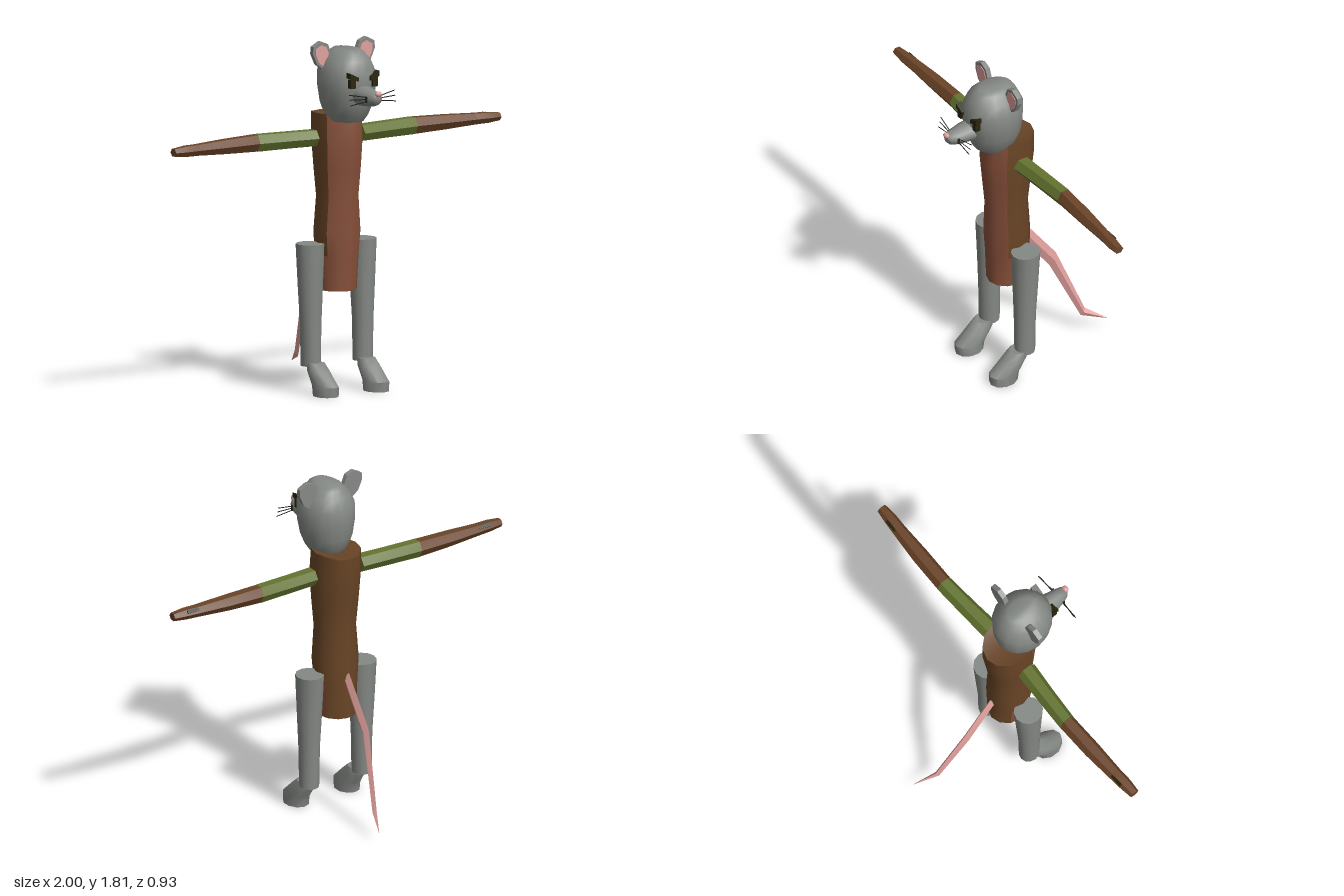
import * as THREE from 'three';
import { toCreasedNormals } from 'three/addons/utils/BufferGeometryUtils.js';

const mat = (name, color, side = THREE.FrontSide) => {
  const m = new THREE.MeshStandardMaterial({ color, side });
  m.name = name;
  return m;
};
const V = (x, y, z) => new THREE.Vector3(x, y, z);

// Ellipse of n points; u x v points along the direction of the loft
function ring(c, u, v, n, phase = 0) {
  return Array.from({ length: n }, (_, i) => {
    const a = phase + (i / n) * Math.PI * 2;
    return c.clone().addScaledVector(u, Math.cos(a)).addScaledVector(v, Math.sin(a));
  });
}
const ringY = (y, z, rx, rz, n, x = 0) => ring(V(x, y, z), V(0, 0, rz), V(rx, 0, 0), n);
const ringX = (x, y, z, ry, rz, n, phase) => ring(V(x, y, z), V(0, ry, 0), V(0, 0, rz), n, phase);
const ringZ = (z, y, rx, ry, n) => ring(V(0, y, z), V(rx, 0, 0), V(0, ry, 0), n);

// Skin between rings; keep(row, column) selects quads
function loft(rings, crease, { caps = true, keep = () => true } = {}) {
  const n = rings[0].length, index = [], pos = [];
  rings.forEach(r => r.forEach(p => pos.push(p.x, p.y, p.z)));
  for (let r = 0; r < rings.length - 1; r++) {
    for (let j = 0; j < n; j++) {
      if (!keep(r, j)) continue;
      const a = r * n + j, b = r * n + (j + 1) % n;
      index.push(a, b, b + n, a, b + n, a + n);
    }
  }
  if (caps) {
    const top = (rings.length - 1) * n;
    for (let j = 1; j < n - 1; j++) index.push(0, j + 1, j, top, top + j, top + j + 1);
  }
  const g = new THREE.BufferGeometry();
  g.setAttribute('position', new THREE.Float32BufferAttribute(pos, 3));
  g.setIndex(index);
  return toCreasedNormals(g, crease);
}

// Mirror in x, with the winding turned round
function mirrored(geo) {
  const g = geo.index ? geo.toNonIndexed() : geo.clone();
  for (const key of ['position', 'normal']) {
    const a = g.attributes[key];
    for (let i = 0; i < a.count; i += 3) {
      const t = [0, 2, 1].map(k => [-a.getX(i + k), a.getY(i + k), a.getZ(i + k)]);
      t.forEach((p, k) => a.setXYZ(i + k, ...p));
    }
  }
  return g;
}

function plate(points, depth, z) {
  const s = new THREE.Shape(points.map(p => new THREE.Vector2(...p)));
  return new THREE.ExtrudeGeometry(s, { depth, bevelEnabled: false }).translate(0, 0, z);
}

export function createModel() {
  const fur = mat('greyFur', 0x858985);
  const pink = mat('pinkSkin', 0xe0a09c);
  const coat = mat('brownCoat', 0x694526);
  const shirt = mat('redBrownShirt', 0x87503a);
  const sleeveMat = mat('greenSleeve', 0x64742f);
  const glove = mat('brownGlove', 0x6b4428);
  const dark = mat('darkDetail', 0x2a2610, THREE.DoubleSide);
  const black = mat('blackWhisker', 0x1c1c1a);

  const model = new THREE.Group();
  model.name = 'mouse';
  const add = (name, geo, material) => {
    const m = new THREE.Mesh(geo, material);
    m.name = name;
    model.add(m);
    return m;
  };
  const pair = (name, geo, material) => {
    add(name + 'Left', geo, material);
    add(name + 'Right', mirrored(geo), material);
  };

  // Body: y, z centre, half width, half depth
  const body = [
    [0.52, 0.08, 0.1, 0.112], [0.7, 0.082, 0.11, 0.115], [0.82, 0.085, 0.12, 0.118],
    [1.0, 0.088, 0.106, 0.112], [1.15, 0.087, 0.118, 0.127], [1.3, 0.085, 0.126, 0.143],
    [1.42, 0.078, 0.122, 0.138],
  ].map(p => ringY(...p, 12));
  body[body.length - 1].forEach(p => { p.y += p.z > 0.16 ? -0.02 : p.z > 0 ? 0.01 : 0; });
  const isShirt = (r, j) => j < 2 || j > 9 || (r === 0 && (j < 4 || j > 7));
  add('shirtFront', loft(body, 0.7, { caps: false, keep: isShirt }), shirt);
  add('coat', loft(body, 0.7, { keep: (r, j) => !isShirt(r, j) }), coat);

  // Head and snout
  add('head', loft([
    [1.395, 0.165, 0.085, 0.1], [1.43, 0.165, 0.108, 0.125], [1.49, 0.168, 0.13, 0.148],
    [1.57, 0.17, 0.145, 0.158], [1.65, 0.17, 0.145, 0.16], [1.71, 0.171, 0.118, 0.135],
    [1.75, 0.169, 0.08, 0.107], [1.765, 0.168, 0.055, 0.085],
  ].map(p => ringY(...p, 16)), 0.9), fur);
  add('snout', loft([
    [0.29, 1.54, 0.06, 0.054], [0.35, 1.54, 0.056, 0.05], [0.405, 1.537, 0.045, 0.043],
    [0.44, 1.54, 0.032, 0.033], [0.455, 1.543, 0.018, 0.02],
  ].map(p => ringZ(...p, 10)), 0.9), fur);
  const nose = new THREE.SphereGeometry(0.017, 8, 6);
  nose.scale(1.15, 0.9, 0.9).translate(0, 1.565, 0.454);
  add('nose', nose, pink);

  // Ears, eyes and brows
  const ear = [[0.085, 1.71], [0.08, 1.745], [0.098, 1.79], [0.14, 1.807], [0.188, 1.782],
    [0.19, 1.745], [0.165, 1.69], [0.125, 1.66]].reverse();
  const inner = ear.map(([x, y]) => [0.135 + (x - 0.135) * 0.72, 1.73 + (y - 1.73) * 0.75]);
  pair('ear', plate(ear, 0.026, 0.122), fur);
  pair('innerEar', plate(inner, 0.004, 0.147), pink);
  pair('eye', plate([[0.052, 1.582], [0.082, 1.582], [0.082, 1.628], [0.052, 1.628]], 0.03, 0.3), dark);
  pair('brow', plate([[0.036, 1.616], [0.09, 1.635], [0.09, 1.662], [0.036, 1.636]], 0.035, 0.3), dark);

  // Whiskers: start and end heights
  [[1.545, 1.565], [1.535, 1.54], [1.525, 1.512]].forEach(([y0, y1], i) => {
    const path = new THREE.LineCurve3(V(0.035, y0, 0.405), V(0.14, y1, 0.4 + 0.008 * (i - 1)));
    pair('whisker' + i, new THREE.TubeGeometry(path, 1, 0.0025, 4), black);
  });
  const spot = new THREE.BoxGeometry(0.006, 0.03, 0.012).translate(0.044, 1.535, 0.408);
  pair('whiskerPad', spot, dark);

  // Arms: x, y, z centre, half height, half depth
  const arm = rows => loft(rows.map(p => ringX(...p, 6, Math.PI / 6)), 0.3);
  pair('sleeve', arm([[0.14, 1.306, 0.083, 0.046, 0.052], [0.3, 1.307, 0.071, 0.047, 0.048],
    [0.485, 1.308, 0.06, 0.049, 0.045]]), sleeveMat);
  pair('forearm', arm([[0.485, 1.308, 0.06, 0.048, 0.044], [0.68, 1.308, 0.064, 0.041, 0.044],
    [0.85, 1.308, 0.07, 0.032, 0.036]]), glove);
  pair('hand', arm([[0.85, 1.308, 0.07, 0.032, 0.036], [0.93, 1.308, 0.075, 0.03, 0.034],
    [1.0, 1.308, 0.077, 0.022, 0.026]]), glove);
  const patch = new THREE.BoxGeometry(0.07, 0.008, 0.018).rotateX(-0.9).translate(0.89, 1.325, 0.05);
  pair('handPatch', patch, dark);

  // Legs and feet
  pair('leg', loft([
    [0.14, 0.083, 0.05, 0.054], [0.36, 0.083, 0.054, 0.057], [0.55, 0.08, 0.064, 0.065],
    [0.765, 0.078, 0.073, 0.076],
  ].map(([y, z, rx, rz]) => ringY(y, z, rx, rz, 12, 0.16)), 0.7), fur);
  pair('foot', loft([
    [0, 0.21, 0.062, 0.077], [0.05, 0.207, 0.062, 0.083], [0.12, 0.145, 0.056, 0.068],
    [0.158, 0.122, 0.046, 0.045],
  ].map(([y, z, rx, rz]) => ringY(y, z, rx, rz, 10, 0.155)), 0.8), fur);

  // Tail: four-sided, taller than wide; runs backwards
  add('tail', loft([
    [0, 0.745, -0.02, 0.016, 0.04], [0, 0.5, -0.195, 0.017, 0.04],
    [0.05, 0.13, -0.345, 0.013, 0.024], [0.1, 0.07, -0.46, 0.001, 0.001],
  ].map(([x, y, z, w, h]) => ring(V(x, y, z), V(0, h * 0.8, -h * 0.5), V(w, 0, 0), 4)), 0.3), pink);

  return model;
}
